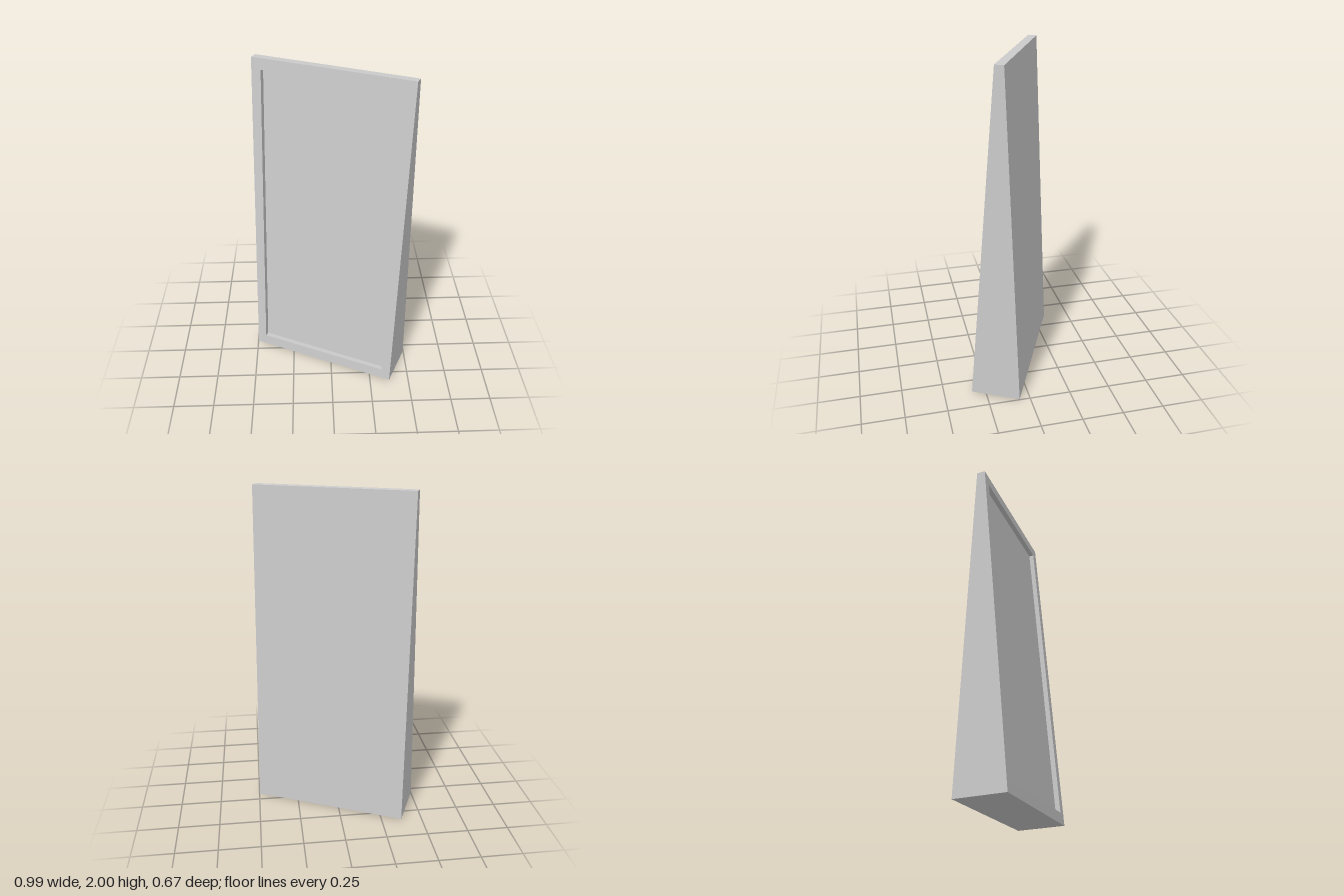
import * as THREE from 'three';

// Four corners, counter-clockwise seen from the front
const ring = (hx, yBot, zBot, yTop, zTop) => [
  [-hx, yBot, zBot], [hx, yBot, zBot], [hx, yTop, zTop], [-hx, yTop, zTop],
];

// Flat-shaded mesh from a list of quads
function quadMesh(name, quads, material) {
  const points = quads.flatMap(([a, b, c, d]) => [a, b, c, a, c, d]).flat();
  const geometry = new THREE.BufferGeometry();
  geometry.setAttribute('position', new THREE.Float32BufferAttribute(points, 3));
  geometry.computeVertexNormals();
  const mesh = new THREE.Mesh(geometry, material);
  mesh.name = name;
  return mesh;
}

// Quads joining two rings
const band = (a, b) => a.map((p, i) => [p, a[(i + 1) % 4], b[(i + 1) % 4], b[i]]);

export function createModel() {
  const group = new THREE.Group();
  group.name = 'wedgeDisplay';
  const material = new THREE.MeshStandardMaterial({ color: 0xcccccc, flatShading: true });

  // Cross-sections from the back, round the front rim, into the recess
  const back = ring(0.478, 0, -0.148, 1.998, -0.061);
  const front = ring(0.478, 0.012, 0.148, 2, -0.01);
  const opening = ring(0.42, 0.08, 0.143, 1.935, -0.005);
  const recess = ring(0.42, 0.078, 0.113, 1.933, -0.035);

  // Wedge casing: back, sides, front border and recess walls
  const casing = quadMesh('casing', [
    [...back].reverse(),
    ...band(back, front),
    ...band(front, opening),
    ...band(opening, recess),
  ], material);

  // Sunken front panel
  const panel = quadMesh('frontPanel', [recess], material);

  group.add(casing, panel);
  group.rotation.y = -0.429; // turned on its base
  return group;
}
